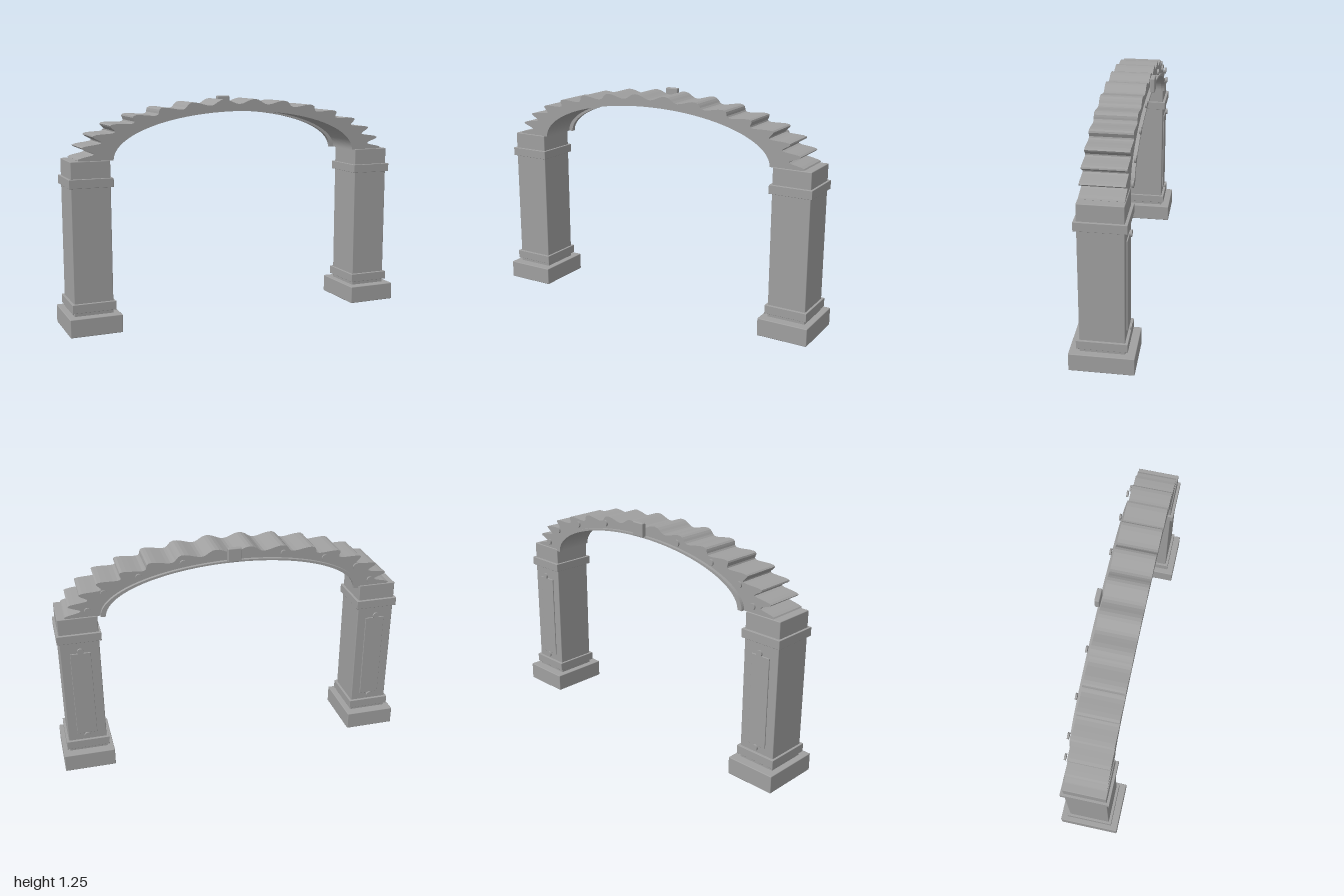
import * as THREE from 'three';
import { RoundedBoxGeometry } from 'three/addons/geometries/RoundedBoxGeometry.js';

export function createModel() {
  const model = new THREE.Group();
  model.name = 'archway';
  const stone = new THREE.MeshStandardMaterial({ color: 0xa0a0a0 });
  stone.name = 'grey stone';

  const add = (parent, name, geometry, x = 0, y = 0, z = 0) => {
    const mesh = new THREE.Mesh(geometry, stone);
    mesh.name = name;
    mesh.position.set(x, y, z);
    parent.add(mesh);
    return mesh;
  };
  // Box given by its bottom and top heights
  const block = (parent, name, w, y0, y1, d, z = 0, r = 0.004) =>
    add(parent, name, new RoundedBoxGeometry(w, y1 - y0, d, 2, r), 0, (y0 + y1) / 2, z);
  const rivet = (parent, x, y) => {
    const geometry = new THREE.CylinderGeometry(0.018, 0.018, 0.01, 16).rotateX(Math.PI / 2);
    add(parent, 'rivet', geometry, x, y, -0.133);
  };

  // Pillars: plinth, shaft, two bands and a panel on the back
  for (const side of [-1, 1]) {
    const pillar = new THREE.Group();
    pillar.name = side < 0 ? 'rightPillar' : 'leftPillar';
    pillar.position.x = side * 0.857;
    model.add(pillar);
    block(pillar, 'plinth', 0.286, 0, 0.1, 0.34);
    block(pillar, 'shaft', 0.215, 0.09, 0.93, 0.234);
    block(pillar, 'lowerBand', 0.24, 0.12, 0.168, 0.264, 0, 0.002);
    block(pillar, 'upperBand', 0.24, 0.79, 0.838, 0.264, 0, 0.002);
    block(pillar, 'backPanel', 0.112, 0.21, 0.72, 0.012, -0.117, 0.002);
    rivet(pillar, 0, 0.2);
    rivet(pillar, 0, 0.737);
  }

  // Elliptical band between an outer and an inner edge, extruded along z
  const springing = 0.928;
  const archBand = (outer, inner, steps, z0, z1) => {
    const points = [];
    for (let i = 0; i <= steps; i++) points.push(outer((i / steps) * Math.PI));
    for (let i = steps; i >= 0; i--) points.push(inner((i / steps) * Math.PI));
    const geometry = new THREE.ExtrudeGeometry(new THREE.Shape(points), {
      depth: z1 - z0, bevelEnabled: false,
    });
    return geometry.translate(0, springing, z0);
  };
  const ellipse = (a, b) => (t) => new THREE.Vector2(a * Math.cos(t), b * Math.sin(t));

  // Scalloped outer edge: the ellipse swells and shrinks in waves
  const wave = THREE.MathUtils.degToRad(11.8);
  const scallops = (t) => {
    const s = 0.955 - 0.045 * Math.cos(((t - Math.PI / 2) / wave) * Math.PI * 2);
    return ellipse(0.925 * s, 0.312 * s)(t);
  };
  add(model, 'scallopedArch', archBand(scallops, ellipse(0.73, 0.245), 150, -0.112, 0.112));
  add(model, 'archTrim', archBand(ellipse(0.733, 0.246), ellipse(0.705, 0.236), 72, -0.131, -0.108));

  // Rivets along the back of the arch
  for (const side of [-1, 1]) {
    for (const [x, y] of [[0.8, 0.972], [0.71, 1.063], [0.52, 1.136], [0.28, 1.188]]) {
      rivet(model, side * x, y);
    }
  }

  // Keystone at the crown
  block(model, 'keystone', 0.076, 1.17, 1.25, 0.027, -0.135, 0.006);
  return model;
}
